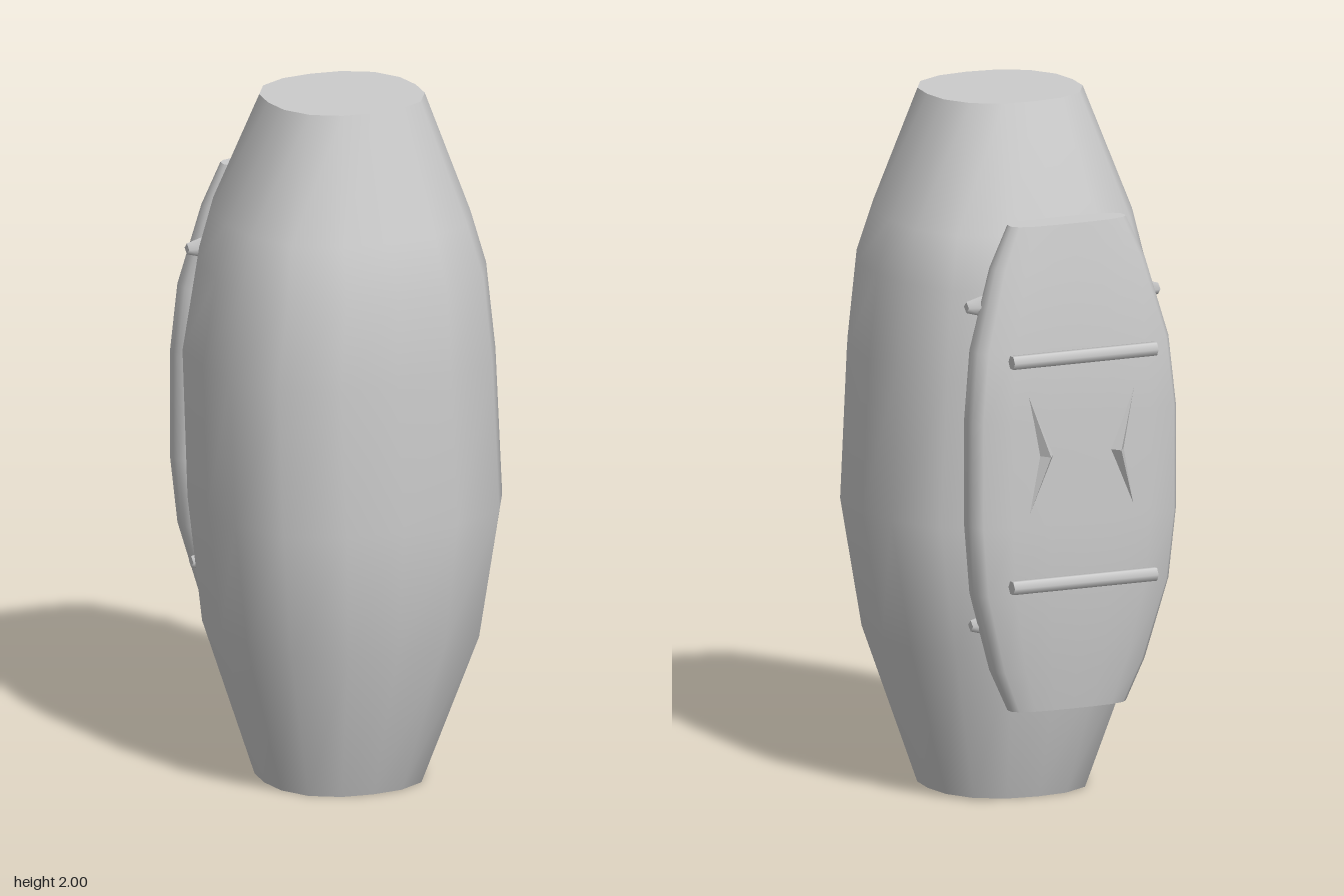
import * as THREE from 'three';

const material = new THREE.MeshStandardMaterial({ color: 0xcccccc, side: THREE.DoubleSide });

// Lofts rounded-square rings; each row is [y, xMin, xMax, zMin, zMax, squareness]
function loft(rows, sides) {
  const positions = [], index = [];
  const ring = ([y, x0, x1, z0, z1, n]) => {
    for (let j = 0; j < sides; j++) {
      const a = (j / sides) * Math.PI * 2;
      const c = Math.cos(a), s = Math.sin(a);
      const r = (Math.abs(c) ** n + Math.abs(s) ** n) ** (-1 / n);
      positions.push((x0 + x1) / 2 + (x1 - x0) / 2 * c * r, y, (z0 + z1) / 2 + (z1 - z0) / 2 * s * r);
    }
  };
  rows.forEach(ring);
  for (let i = 0; i < rows.length - 1; i++) {
    for (let j = 0; j < sides; j++) {
      const k = (j + 1) % sides;
      const a = i * sides + j, b = i * sides + k;
      index.push(a, a + sides, b, b, a + sides, b + sides);
    }
  }
  // Flat end caps with their own vertices, so the rims stay sharp
  [rows[0], rows[rows.length - 1]].forEach((row, top) => {
    const start = positions.length / 3;
    ring(row);
    for (let j = 1; j < sides - 1; j++) {
      if (top) index.push(start, start + j + 1, start + j);
      else index.push(start, start + j, start + j + 1);
    }
  });
  const g = new THREE.BufferGeometry();
  g.setAttribute('position', new THREE.Float32BufferAttribute(positions, 3));
  g.setIndex(index);
  g.computeVertexNormals();
  return g;
}

// Raised crescent made of four facets around a central ridge
function chevron(side) {
  const outerTop = [0.17, 1.24, -0.452], inner = [0.085, 1.05, -0.452];
  const outerLow = [0.17, 0.86, -0.452], notch = [0.135, 1.05, -0.452];
  const peak = [0.11, 1.05, -0.487];
  const faces = [[outerTop, inner, peak], [inner, outerLow, peak], [outerLow, notch, peak], [notch, outerTop, peak]];
  const points = faces.flatMap(([a, b, c]) => (side > 0 ? [a, b, c] : [a, c, b]))
    .flatMap(([x, y, z]) => [x * side, y, z]);
  const g = new THREE.BufferGeometry();
  g.setAttribute('position', new THREE.Float32BufferAttribute(points, 3));
  g.computeVertexNormals();
  return g;
}

export function createModel() {
  const model = new THREE.Group();
  model.name = 'capsuleWithPack';
  const add = (parent, name, geometry, x = 0, y = 0, z = 0) => {
    const mesh = new THREE.Mesh(geometry, material);
    mesh.name = name;
    mesh.position.set(x, y, z);
    parent.add(mesh);
    return mesh;
  };

  // Tapered pod body
  add(model, 'body', loft([
    [0, -0.235, 0.23, -0.17, 0.30, 2.4],
    [0.45, -0.37, 0.37, -0.325, 0.465, 2.8],
    [0.82, -0.415, 0.43, -0.335, 0.49, 2.9],
    [1.25, -0.43, 0.41, -0.335, 0.487, 2.9],
    [1.5, -0.385, 0.388, -0.33, 0.465, 2.8],
    [1.65, -0.35, 0.35, -0.292, 0.417, 2.7],
    [2, -0.23, 0.225, -0.14, 0.30, 2.4],
  ], 16));

  // Backpack
  const pack = new THREE.Group();
  pack.name = 'backpack';
  model.add(pack);
  add(pack, 'packShell', loft([
    [0.3, -0.18, 0.18, -0.405, -0.31, 3],
    [0.42, -0.235, 0.235, -0.425, -0.295, 3.2],
    [0.65, -0.3, 0.3, -0.456, -0.29, 3.6],
    [0.85, -0.322, 0.317, -0.46, -0.29, 3.8],
    [1.15, -0.322, 0.317, -0.46, -0.29, 3.8],
    [1.35, -0.3, 0.3, -0.456, -0.29, 3.6],
    [1.58, -0.235, 0.235, -0.425, -0.295, 3.2],
    [1.7, -0.18, 0.18, -0.405, -0.31, 3],
  ], 20));

  // Horizontal bars across the pack
  for (const y of [0.68, 1.33]) {
    const bar = add(pack, 'packBar', new THREE.CylinderGeometry(0.021, 0.021, 0.45, 6), 0, y, -0.469);
    bar.rotation.z = Math.PI / 2;
  }

  // Chevrons and side studs, mirrored
  for (const side of [1, -1]) {
    add(pack, 'packChevron', chevron(side));
    for (const [y, x] of [[1.47, 0.275], [0.55, 0.262]]) {
      const stud = add(pack, 'packStud', new THREE.CylinderGeometry(0.016, 0.03, 0.05, 4), side * x, y, -0.33);
      stud.rotation.z = -side * Math.PI / 2;
    }
  }
  return model;
}
